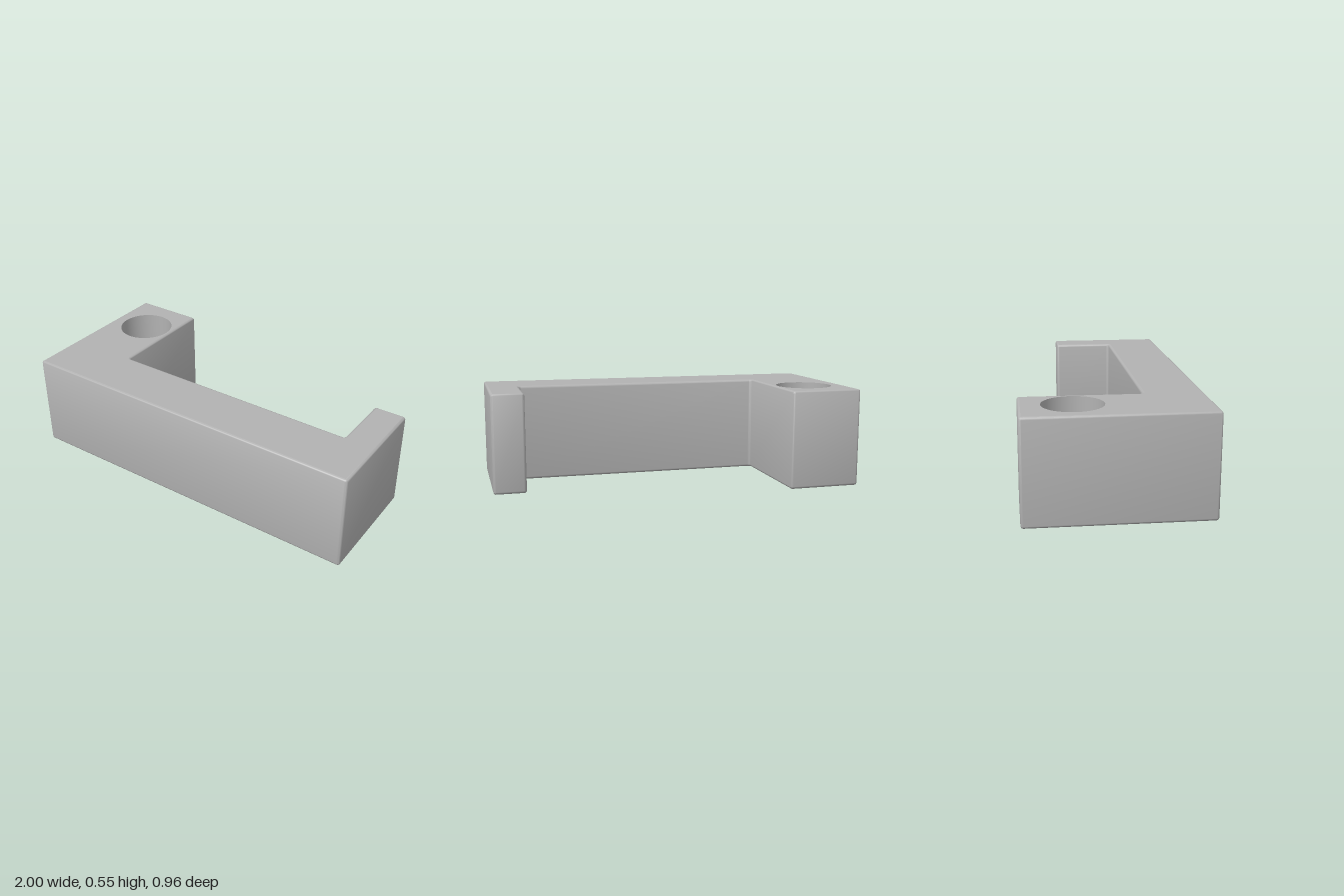
import * as THREE from 'three';
import { toCreasedNormals } from 'three/addons/utils/BufferGeometryUtils.js';

const HEIGHT = 0.545, EDGE = 0.014, CORNER = 0.015;
const HOLE = { x: -0.775, z: -0.21, r: 0.157 };

// Plan corners (x, -z), counter-clockwise: front bar, short left arm, long right arm
const PLAN = [
  [-1, -0.478], [1, -0.478], [1, 0.185], [0.82, 0.185],
  [0.82, -0.16], [-0.595, -0.16], [-0.595, 0.478], [-1, 0.478],
].map(([x, y]) => new THREE.Vector2(x, y));

// Plan outline with rounded corners, moved inwards by inset
function outline(inset, steps = 4) {
  const points = [];
  PLAN.forEach((p, i) => {
    const before = PLAN[(i + PLAN.length - 1) % PLAN.length];
    const after = PLAN[(i + 1) % PLAN.length];
    const d1 = p.clone().sub(before).normalize();
    const d2 = after.clone().sub(p).normalize();
    const n1 = new THREE.Vector2(-d1.y, d1.x), n2 = new THREE.Vector2(-d2.y, d2.x);
    const r = CORNER * Math.sign(d1.cross(d2));
    for (let s = 0; s <= steps; s++) {
      const a = (s / steps) * Math.PI / 2;
      points.push(p.clone()
        .addScaledVector(n1, r - (r - inset) * Math.cos(a))
        .addScaledVector(n2, r - (r - inset) * Math.sin(a)));
    }
  });
  return points;
}

// Outer walls with rounded top and bottom edges, joined ring by ring
function wallGeometry() {
  const rings = [], steps = 4;
  for (let s = 0; s <= steps; s++) {
    const a = (s / steps) * Math.PI / 2;
    rings.push([EDGE * (1 - Math.sin(a)), EDGE * (1 - Math.cos(a))]);
  }
  for (let s = steps; s >= 0; s--) rings.push([rings[s][0], HEIGHT - rings[s][1]]);

  const positions = [], index = [];
  const count = outline(0).length;
  rings.forEach(([inset, y], k) => {
    outline(inset).forEach((p, j) => {
      positions.push(p.x, y, -p.y);
      if (k === 0) return;
      const a = (k - 1) * count + j, b = (k - 1) * count + (j + 1) % count;
      index.push(a, b, b + count, a, b + count, a + count);
    });
  });
  const geometry = new THREE.BufferGeometry();
  geometry.setAttribute('position', new THREE.Float32BufferAttribute(positions, 3));
  geometry.setIndex(index);
  return toCreasedNormals(geometry, Math.PI / 5);
}

// Flat face pierced by the round hole
function faceGeometry(y, facesDown) {
  const shape = new THREE.Shape(outline(EDGE));
  shape.holes.push(new THREE.Path().absarc(HOLE.x, -HOLE.z, HOLE.r, 0, Math.PI * 2, true));
  const geometry = new THREE.ShapeGeometry(shape, 32);
  geometry.rotateX(-Math.PI / 2).translate(0, y, 0);
  if (facesDown) {
    geometry.index.array.reverse();
    geometry.computeVertexNormals();
  }
  return geometry;
}

export function createModel() {
  const group = new THREE.Group();
  group.name = 'bracket';
  const grey = new THREE.MeshStandardMaterial({ color: 0xb2b2b2 });
  grey.name = 'grey';

  const add = (name, geometry) => {
    const mesh = new THREE.Mesh(geometry, grey);
    mesh.name = name;
    group.add(mesh);
  };
  add('outerWalls', wallGeometry());
  add('topFace', faceGeometry(HEIGHT, false));
  add('bottomFace', faceGeometry(0, true));

  // Hole wall, profile running downwards so it faces inwards
  const bore = new THREE.LatheGeometry(
    [new THREE.Vector2(HOLE.r, HEIGHT), new THREE.Vector2(HOLE.r, 0)], 64);
  add('boltHole', bore.translate(HOLE.x, 0, HOLE.z));
  return group;
}
